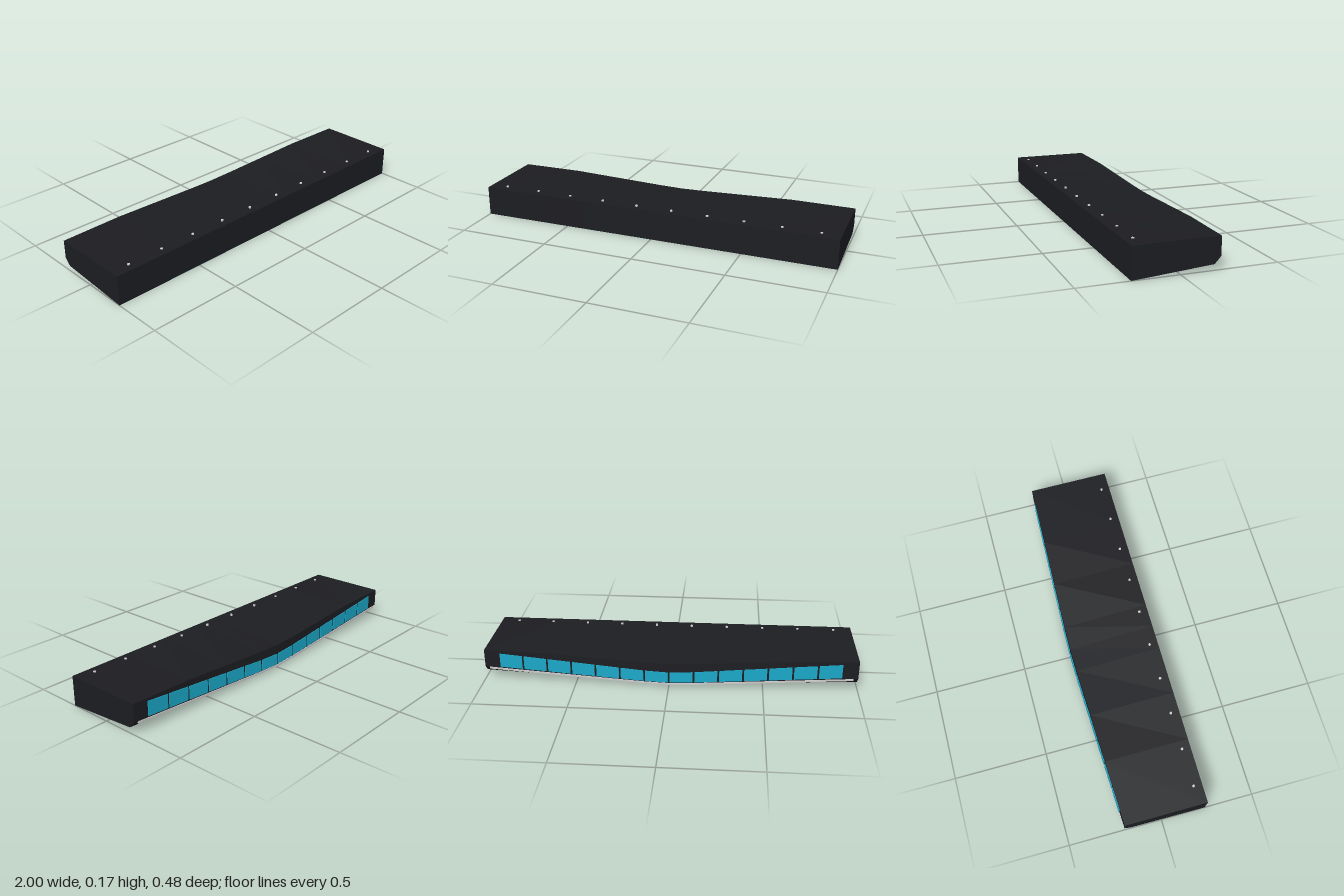
import * as THREE from 'three';

const PITCH = 0.1314; // width of one window bay
const mix = THREE.MathUtils.lerp;

// How far the rear edge bows out and down: 0 at the ends, 1 on the centre line
function bow(x) {
  const a = Math.abs(x);
  return a < PITCH ? mix(1, 0.92, a / PITCH) : mix(0.92, 0, (a - PITCH) / (1 - PITCH));
}

// The top edge stays level near the ends and only sags further in
function sag(x) {
  return Math.max(0, (bow(x) - 0.3) / 0.7);
}

// Rear face of the body at x: upper and lower edge as [z, y]
function rearEdge(x) {
  const t = bow(x);
  return {
    top: [mix(-0.202, -0.23, t), mix(0.162, 0.13, sag(x))],
    low: [mix(-0.202, -0.234, t), mix(0.065, 0.018, t)],
  };
}

// Joins closed [z, y] rings placed at rising x, with flat end caps
function loft(xs, ringAt) {
  const pos = [];
  const rings = xs.map((x) => ringAt(x).map(([z, y]) => [x, y, z]));
  const tri = (...pts) => pts.forEach((p) => pos.push(...p));
  const n = rings[0].length;
  for (let k = 0; k < rings.length - 1; k++) {
    for (let i = 0; i < n; i++) {
      const j = (i + 1) % n;
      const [a, b, c, d] = [rings[k][i], rings[k + 1][i], rings[k + 1][j], rings[k][j]];
      tri(a, b, c);
      tri(a, c, d);
    }
  }
  const first = rings[0];
  const last = rings[rings.length - 1];
  for (let i = 1; i < n - 1; i++) {
    tri(first[0], first[i], first[i + 1]);
    tri(last[0], last[i + 1], last[i]);
  }
  const geo = new THREE.BufferGeometry();
  geo.setAttribute('position', new THREE.Float32BufferAttribute(pos, 3));
  geo.computeVertexNormals();
  return geo;
}

export function createModel() {
  const group = new THREE.Group();
  const paint = (color) => new THREE.MeshStandardMaterial({ color, flatShading: true });
  const black = paint(0x1c1d21);
  const cyan = paint(0x1aa8c8);
  const grey = paint(0xcccccc);

  const add = (name, geo, mat) => {
    const mesh = new THREE.Mesh(geo, mat);
    mesh.name = name;
    group.add(mesh);
    return mesh;
  };

  const half = [PITCH, PITCH * 3, PITCH * 5];
  const stations = (end) => [-end, ...half.map((x) => -x).reverse(), 0, ...half, end];

  // Body: straight front, bowed rear with a chamfer underneath
  add('body', loft(stations(1), (x) => {
    const t = bow(x);
    const { top, low } = rearEdge(x);
    return [[0.238, 0], [0.238, 0.162], top, low, [mix(-0.17, -0.2, t), mix(0.03, 0, t)]];
  }), black);

  // Row of window panels standing just proud of the rear face
  const panelRing = (x) => {
    const t = bow(x);
    const { top, low } = rearEdge(x);
    const yTop = mix(0.152, 0.08, t);
    const yLow = mix(0.073, 0.022, t);
    const zAt = (y) => mix(low[0], top[0], (y - low[1]) / (top[1] - low[1]));
    const zTop = zAt(yTop);
    const zLow = zAt(yLow);
    return [[zLow + 0.004, yLow], [zTop + 0.004, yTop], [zTop - 0.004, yTop], [zLow - 0.004, yLow]];
  };
  for (let i = -7; i < 7; i++) {
    const x = i * PITCH;
    add('windowPanel', loft([x + 0.005, x + PITCH - 0.005], panelRing), cyan);
  }

  // Thin trim bar along the lower rear edge
  add('trimBar', loft(stations(0.975), (x) => {
    const [z, y] = rearEdge(x).low;
    return [[z + 0.005, y - 0.01], [z + 0.005, y], [z - 0.004, y], [z - 0.004, y - 0.01]];
  }), grey);

  // Row of small studs on the top, near the front
  const studGeo = new THREE.CylinderGeometry(0.007, 0.007, 0.01, 12);
  for (let i = 0; i < 10; i++) {
    add('stud', studGeo, grey).position.set(-0.9 + i * 0.2, 0.162, 0.192);
  }

  return group;
}
